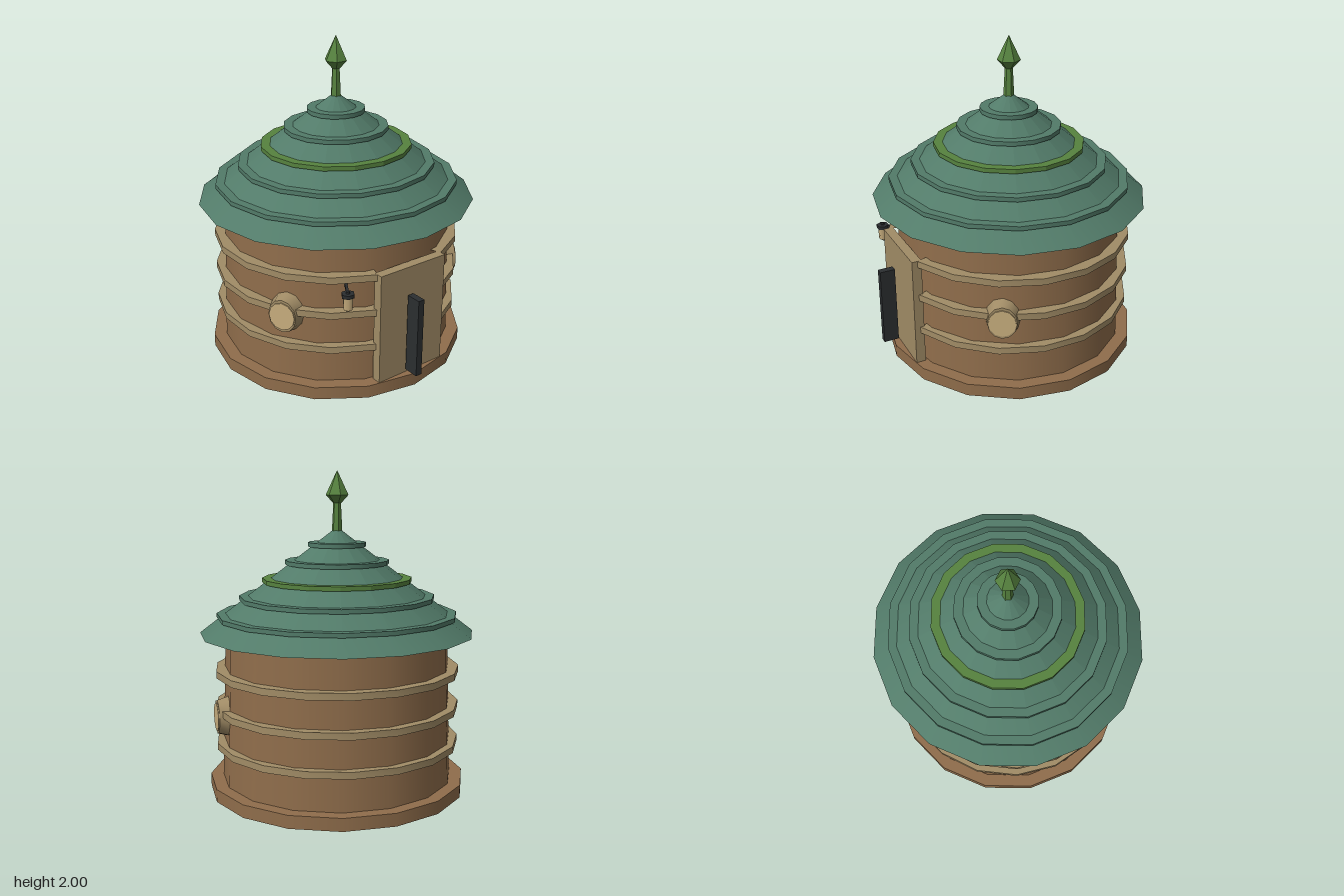
import * as THREE from 'three';
import { toCreasedNormals } from 'three/addons/utils/BufferGeometryUtils.js';

const SIDES = 16;

function material(name, color, flatShading = false) {
  const m = new THREE.MeshStandardMaterial({ color, flatShading });
  m.name = name;
  return m;
}

function add(parent, name, geometry, mat, x = 0, y = 0, z = 0) {
  const mesh = new THREE.Mesh(geometry, mat);
  mesh.name = name;
  mesh.position.set(x, y, z);
  parent.add(mesh);
  return mesh;
}

// Upright cylinder or cone between two heights
function drum(parent, name, mat, rTop, rBottom, y0, y1, sides = SIDES) {
  const g = new THREE.CylinderGeometry(rTop, rBottom, y1 - y0, sides);
  return add(parent, name, g, mat, 0, (y0 + y1) / 2, 0);
}

export function createModel() {
  const wood = material('brown wood', 0x8f6d4b);
  const trim = material('pale wood', 0xa18c66);
  const roofGreen = material('roof green', 0x527b69);
  const leafGreen = material('leaf green', 0x56823f, true);
  const glow = material('warm pane', 0xc8ae7e);
  const iron = material('dark iron', 0x2b2e30);

  const model = new THREE.Group();
  model.name = 'roundHut';

  // Round parts share a slightly shallow footprint
  const hut = new THREE.Group();
  hut.name = 'hut';
  hut.position.z = -0.011;
  hut.scale.z = 0.988;
  model.add(hut);

  // Plinth and tapered wall
  drum(hut, 'plinth', wood, 0.815, 0.815, 0, 0.08);
  drum(hut, 'wall', wood, 0.704, 0.737, 0.04, 1.0);

  // Hoops, open at the doorway
  const gap = THREE.MathUtils.degToRad(18);
  for (const y of [0.291, 0.519, 0.746]) {
    const profile = [[0.68, 0], [0.772, 0], [0.772, 0.042], [0.68, 0.042]]
      .map(([r, h]) => new THREE.Vector2(r, y + h));
    const g = new THREE.LatheGeometry(profile, SIDES, gap, Math.PI * 2 - gap * 2);
    add(hut, 'wallHoop', toCreasedNormals(g, 0.7), trim);
  }

  // Conical roof with raised rings
  drum(hut, 'roof', roofGreen, 0, 0.863, 1.0, 1.655);
  const rings = [[0.757, 1.095], [0.614, 1.204], [0.47, 1.314], [0.325, 1.425], [0.18, 1.534]];
  rings.forEach(([r, y], i) => {
    drum(hut, 'roofRing', i === 2 ? leafGreen : roofGreen, r, r, y, y + 0.027);
  });

  // Six-sided spear finial
  const finial = new THREE.Group();
  finial.name = 'finial';
  finial.rotation.y = Math.PI / 6;
  hut.add(finial);
  drum(finial, 'finialStem', leafGreen, 0.024, 0.033, 1.63, 1.81, 6);
  drum(finial, 'finialCollar', leafGreen, 0.072, 0.026, 1.8, 1.85, 6);
  drum(finial, 'finialPoint', leafGreen, 0, 0.072, 1.85, 2.0, 6);

  // Oval windows either side of the door
  for (const side of [-1, 1]) {
    const win = new THREE.Group();
    win.name = side > 0 ? 'leftWindow' : 'rightWindow';
    win.position.y = 0.508;
    win.rotation.y = side * Math.PI / 3;
    hut.add(win);
    const frame = toCreasedNormals(
      new THREE.CylinderGeometry(0.105, 0.127, 0.075, 12).rotateX(Math.PI / 2).scale(0.85, 1, 1), 0.7);
    add(win, 'windowFrame', frame, trim, 0, 0, 0.738);
    const pane = new THREE.CylinderGeometry(0.087, 0.087, 0.008, 12).rotateX(Math.PI / 2).scale(0.95, 1, 1);
    add(win, 'windowPane', pane, glow, 0, 0, 0.778);
  }

  // Hanging lantern on a wall bracket
  const lantern = new THREE.Group();
  lantern.name = 'lantern';
  lantern.position.set(-0.434, 0, 0.71);
  lantern.rotation.y = Math.atan2(-0.434, 0.71);
  hut.add(lantern);
  drum(lantern, 'lanternGlass', glow, 0.032, 0.028, 0.622, 0.702, 6);
  drum(lantern, 'lanternCap', iron, 0.04, 0.04, 0.7, 0.722, 6);
  drum(lantern, 'lanternKnob', iron, 0.012, 0.012, 0.722, 0.732, 6);
  drum(lantern, 'lanternFoot', iron, 0.014, 0.014, 0.612, 0.622, 6);
  add(lantern, 'lanternBracket', new THREE.BoxGeometry(0.016, 0.016, 0.13), iron, 0, 0.711, -0.065);

  // Door slab and long upright handle
  add(model, 'door', new THREE.BoxGeometry(0.484, 0.705, 0.06), trim, 0, 0.436, 0.718);
  add(model, 'doorHandle', new THREE.BoxGeometry(0.042, 0.503, 0.095), iron, -0.034, 0.368, 0.8155);

  return model;
}
